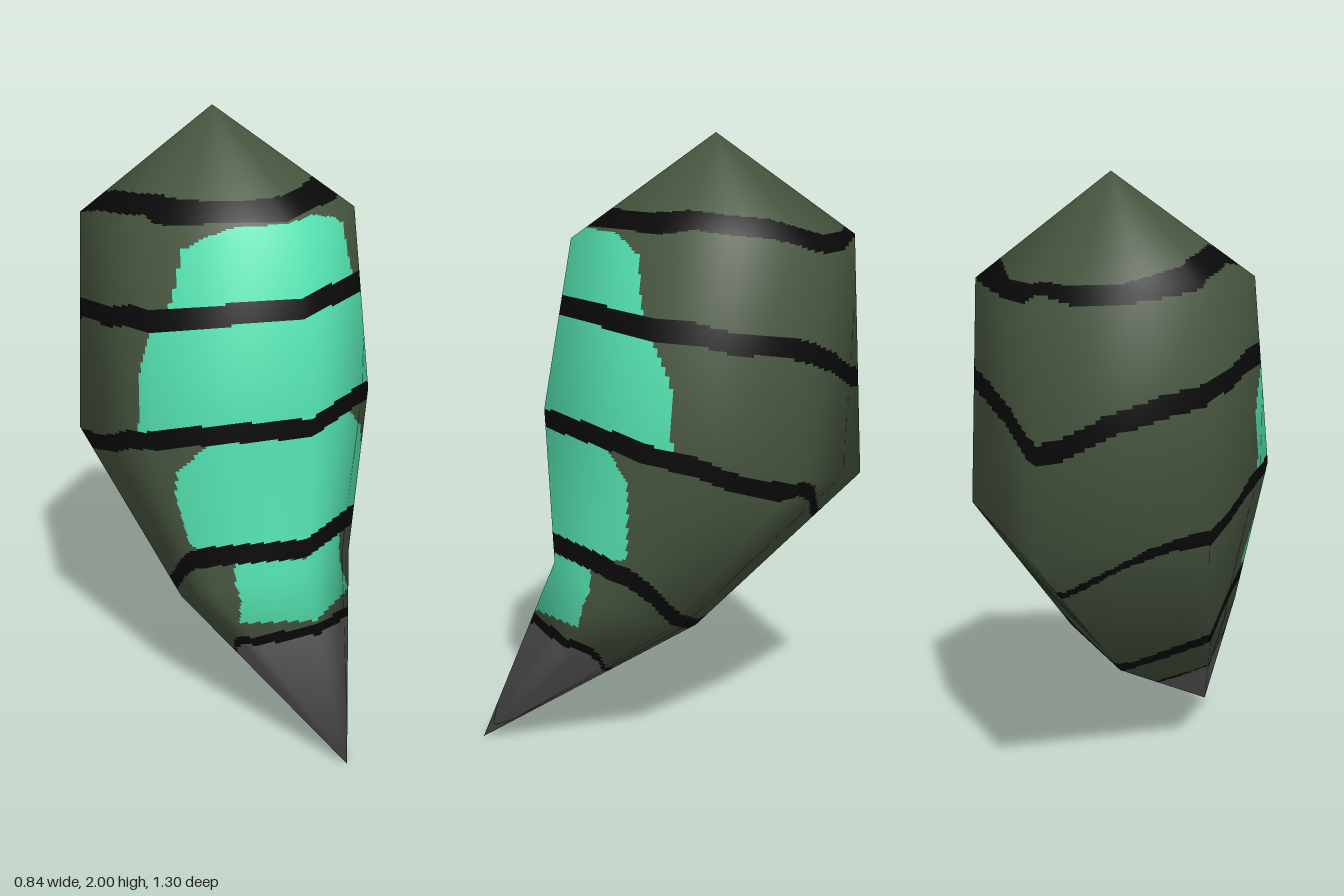
import * as THREE from 'three';

const mat = (name, color) => Object.assign(new THREE.MeshStandardMaterial({ color }), { name });

// Linear interpolation through [t, value] points sorted by t
function curve(points, t) {
  if (t <= points[0][0]) return points[0][1];
  for (let i = 1; i < points.length; i++) {
    const [t0, v0] = points[i - 1], [t1, v1] = points[i];
    if (t <= t1) return v0 + (v1 - v0) * (t - t0) / (t1 - t0);
  }
  return points[points.length - 1][1];
}

// Hexagonal cross-sections, tilted front to back
const rings = [
  { front: [0.60, 0.40], back: [0.35, -0.08], w: 0.265 },
  { front: [1.12, 0.425], back: [0.86, -0.65], w: 0.42 },
  { front: [1.67, 0.33], back: [1.67, -0.61], w: 0.388 },
];
const bottom = new THREE.Vector3(0, 0, 0.65);
const top = new THREE.Vector3(0, 2, -0.14);

// Stripe centre lines: height against depth z, with half thickness
const stripes = [
  { half: 0.028, line: [[-0.61, 1.69], [-0.55, 1.655], [-0.45, 1.655], [-0.35, 1.685], [-0.25, 1.715],
    [-0.1, 1.73], [0, 1.745], [0.1, 1.732], [0.33, 1.738]] },
  { half: 0.034, line: [[-0.63, 1.19], [-0.58, 1.21], [-0.5, 1.27], [-0.4, 1.32], [-0.3, 1.36],
    [-0.1, 1.38], [0, 1.41], [0.2, 1.435], [0.38, 1.46]] },
  { half: 0.032, line: [[-0.5, 0.71], [-0.45, 0.79], [-0.42, 0.85], [-0.35, 0.9], [-0.2, 0.92],
    [-0.1, 0.95], [0, 1.0], [0.1, 1.03], [0.2, 1.06], [0.42, 1.09]] },
  { half: 0.034, line: [[-0.08, 0.35], [0, 0.43], [0.08, 0.51], [0.12, 0.56], [0.2, 0.625], [0.27, 0.66], [0.4, 0.668]] },
];
const tipLine = [[0.2, 0.2], [0.25, 0.25], [0.285, 0.33], [0.35, 0.37], [0.48, 0.412]];

// The belly patches reach back to this depth z at each height
const bellyEdge = [[0.435, 0.9], [0.44, 0.35], [0.5, 0.335], [0.56, 0.31], [0.63, 0.305], [0.635, 0.9],
  [0.685, 0.9], [0.69, 0.205], [0.95, 0.21], [1.04, 0.26], [1.05, 0.08], [1.25, 0.08], [1.35, 0.12],
  [1.45, 0.15], [1.5, 0.16], [1.64, 0.16], [1.7, 0.21], [1.71, 0.9]];

// Which part a point of the surface belongs to
function partAt({ y, z }) {
  if (z > 0.15 && y < 0.45) {
    const d = y - curve(tipLine, z);
    if (Math.abs(d) < 0.016) return 'stripes';
    if (d < 0) return 'tip';
  }
  if (stripes.some(s => Math.abs(y - curve(s.line, z)) < s.half)) return 'stripes';
  return z > curve(bellyEdge, y) ? 'belly' : 'hide';
}

export function createModel() {
  // Coarse body: bottom point, three hexagons, top point
  const points = [bottom];
  for (const { front, back, w } of rings) {
    for (const [side, f] of [[0, 0], [1, 0.24], [1, 0.69], [0, 1], [-1, 0.69], [-1, 0.24]]) {
      points.push(new THREE.Vector3(side * w,
        front[0] + (back[0] - front[0]) * f, front[1] + (back[1] - front[1]) * f));
    }
  }
  points.push(top);
  const id = (j, k) => j === 0 ? 0 : j === 4 ? 19 : 1 + (j - 1) * 6 + k % 6;

  // Smooth normals of the coarse body
  const index = [];
  for (let j = 0; j < 4; j++) for (let k = 0; k < 6; k++) {
    const a = id(j, k), b = id(j, k + 1), c = id(j + 1, k + 1), d = id(j + 1, k);
    if (j > 0) index.push(a, b, c.valueOf() === d ? d : c);
    if (j === 0) index.push(a, c, d);
    else if (j < 3) index.push(a, c, d);
  }
  const coarse = new THREE.BufferGeometry().setFromPoints(points);
  coarse.setIndex(index);
  coarse.computeVertexNormals();
  const normals = points.map((_, i) => new THREE.Vector3().fromBufferAttribute(coarse.attributes.normal, i));

  // Cut each face into narrow columns, and each column into runs of one part
  const parts = {};
  for (const name of ['hide', 'belly', 'stripes', 'tip']) parts[name] = { position: [], normal: [] };
  const COLS = 32, ROWS = 70;
  for (let j = 0; j < 4; j++) for (let k = 0; k < 6; k++) {
    const corners = [id(j, k), id(j, k + 1), id(j + 1, k), id(j + 1, k + 1)];
    const sample = (list, u, v) => {
      const [a, b, c, d] = corners.map(i => list[i]);
      return a.clone().lerp(b, u).lerp(c.clone().lerp(d, u), v);
    };
    for (let i = 0; i < COLS; i++) {
      const u0 = i / COLS, u1 = (i + 1) / COLS;
      const nameAt = r => partAt(sample(points, (u0 + u1) / 2, (r + 0.5) / ROWS));
      let start = 0, name = nameAt(0);
      for (let r = 1; r <= ROWS; r++) {
        const next = r < ROWS ? nameAt(r) : null;
        if (next === name) continue;
        const v0 = start / ROWS, v1 = r / ROWS;
        for (const [u, v] of [[u0, v0], [u1, v0], [u1, v1], [u0, v0], [u1, v1], [u0, v1]]) {
          parts[name].position.push(...sample(points, u, v).toArray());
          parts[name].normal.push(...sample(normals, u, v).normalize().toArray());
        }
        start = r;
        name = next;
      }
    }
  }

  // One mesh for each coloured part
  const materials = {
    hide: mat('dark green', 0x485740),
    belly: mat('mint', 0x54e2b0),
    stripes: mat('black', 0x0a0a0a),
    tip: mat('grey', 0x6a6a6a),
  };
  const group = new THREE.Group();
  group.name = 'stripedTail';
  for (const [name, { position, normal }] of Object.entries(parts)) {
    const geometry = new THREE.BufferGeometry();
    geometry.setAttribute('position', new THREE.Float32BufferAttribute(position, 3));
    geometry.setAttribute('normal', new THREE.Float32BufferAttribute(normal, 3));
    const mesh = new THREE.Mesh(geometry, materials[name]);
    mesh.name = name;
    group.add(mesh);
  }
  return group;
}
